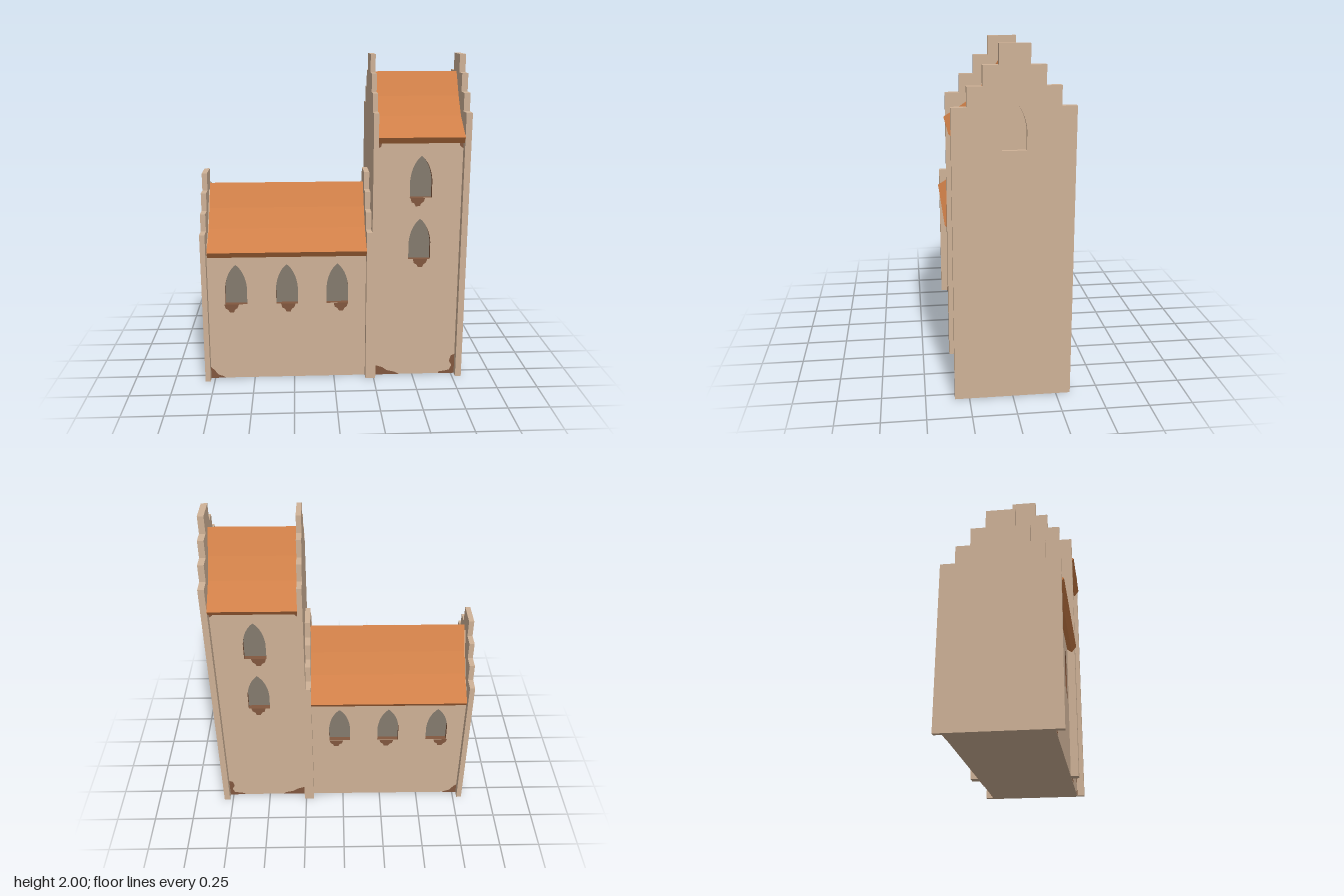
import * as THREE from 'three';

const mat = (name, color, side = THREE.FrontSide) => {
  const m = new THREE.MeshStandardMaterial({ color, side });
  m.name = name;
  return m;
};

export function createModel() {
  const plaster = mat('plaster', 0xcfb297);
  const tile = mat('roofTile', 0xcf7f48);
  const glass = mat('windowGlass', 0x857b6e, THREE.DoubleSide);
  const brick = mat('exposedBrick', 0x82583f, THREE.DoubleSide);
  const model = new THREE.Group();
  model.name = 'church';

  const add = (parent, name, geometry, material) => {
    const mesh = new THREE.Mesh(geometry, material);
    mesh.name = name;
    parent.add(mesh);
    return mesh;
  };
  const polygon = pts => new THREE.Shape(pts.map(p => new THREE.Vector2(...p)));
  // closes a half outline (listed from the outside to the centre) by mirroring it
  const mirrored = half => [
    ...half,
    ...half.filter(p => p[0] > 0).reverse().map(([a, b]) => [-a, b]),
  ];
  // extrudes a (z, y) outline along x from x0 to x1
  const alongX = (shape, x0, x1) =>
    new THREE.ExtrudeGeometry(shape, { depth: x1 - x0, bevelEnabled: false, curveSegments: 8 })
      .rotateY(Math.PI / 2).translate(x0, 0, 0);

  // pointed arch outline standing on a sill
  const W = 0.067;
  const arch = (x, y, Type = THREE.Shape) => {
    const s = new Type();
    s.moveTo(x - W, y);
    s.lineTo(x + W, y);
    s.lineTo(x + W, y + 0.11);
    s.quadraticCurveTo(x + W * 0.85, y + 0.21, x, y + 0.257);
    s.quadraticCurveTo(x - W * 0.85, y + 0.21, x - W, y + 0.11);
    s.lineTo(x - W, y);
    return s;
  };

  // stepped gable outline, four steps up to the top
  const steppedGable = top => {
    const half = [[0.333, 0]];
    [0.333, 0.25, 0.167, 0.083].forEach((w, i) => {
      const y = top - 0.108 * (3 - i);
      if (i > 0) half.push([w, y - 0.108]);
      half.push([w, y]);
    });
    return polygon(mirrored(half));
  };

  // concave roof, listed as distance from the ridge and rise above the eave
  const slope = [[0.344, 0], [0.27, 0.046], [0.18, 0.107], [0.09, 0.217], [0, 0.358]];
  const roofShape = eave => {
    const top = mirrored(slope.map(([z, y]) => [z, y + eave]));
    const under = mirrored(slope.map(([z, y]) => [z * 0.915, y + eave - 0.038])).reverse();
    return polygon([...top, ...under]);
  };

  // stain outlines
  const drip = [[-0.045, 0], [0.045, 0], [0.036, -0.024], [0.02, -0.035], [0.014, -0.052],
    [-0.012, -0.052], [-0.022, -0.034], [-0.038, -0.026]];

  const wing = ({ name, x0, x1, roof, eave, windows, stains }) => {
    const g = new THREE.Group();
    g.name = name;
    model.add(g);

    // solid core and base
    const core = polygon(mirrored([[0.25, 0.01], [0.25, eave + 0.02], [0.165, eave + 0.075],
      [0.08, eave + 0.185], [0, eave + 0.315]]));
    add(g, name + 'Core', alongX(core, x0, x1), plaster);
    add(g, name + 'Base',
      new THREE.BoxGeometry(x1 - x0, 0.01, 0.57).translate((x0 + x1) / 2, 0.005, 0), plaster);

    // long walls with pierced windows, brick reveals, glass and stains
    for (const side of [1, -1]) {
      const label = side > 0 ? 'Front' : 'Back';
      const wall = polygon([[x0, 0.01], [x1, 0.01], [x1, eave - 0.015], [x0, eave - 0.015]]);
      wall.holes = windows.map(([x, y]) => arch(x, y, THREE.Path));
      const geo = new THREE.ExtrudeGeometry(wall, { depth: 0.035, bevelEnabled: false, curveSegments: 8 });
      geo.translate(0, 0, side > 0 ? 0.25 : -0.285);
      add(g, name + label + 'Wall', geo, [plaster, brick]);
      for (const [x, y, dx] of windows) {
        add(g, 'windowGlass', new THREE.ShapeGeometry(arch(x, y), 8), glass).position.z = side * 0.254;
        const d = polygon(drip.map(([a, b]) => [x + dx + a, y + b]));
        add(g, 'sillStain', new THREE.ShapeGeometry(d), brick).position.z = side * 0.287;
      }
      for (const s of stains) {
        add(g, 'cornerStain', new THREE.ShapeGeometry(polygon(s)), brick).position.z = side * 0.287;
      }
    }

    // roof
    add(g, name + 'Roof', alongX(roofShape(eave), ...roof), tile);
    return g;
  };

  const nave = wing({
    name: 'nave', x0: -0.776, x1: 0.2, roof: [-0.768, 0.199], eave: 0.845,
    windows: [[-0.603, 0.494, -0.03], [-0.29, 0.494, 0.008], [0.022, 0.494, 0.022]],
    stains: [[[-0.776, 0], [-0.68, 0], [-0.7, 0.012], [-0.73, 0.022], [-0.755, 0.055], [-0.776, 0.075]]],
  });
  const tower = wing({
    name: 'tower', x0: 0.26, x1: 0.772, roof: [0.261, 0.771], eave: 1.535,
    windows: [[0.525, 0.772, 0.007], [0.525, 1.16, -0.018]],
    stains: [
      [[0.26, 0], [0.415, 0], [0.39, 0.016], [0.34, 0.028], [0.31, 0.05], [0.26, 0.066]],
      [[0.772, 0], [0.772, 0.132], [0.748, 0.122], [0.738, 0.085], [0.754, 0.055],
        [0.74, 0.024], [0.7, 0.016], [0.672, 0.012], [0.672, 0]],
      [[0.26, 1.515], [0.26, 1.46], [0.28, 1.475], [0.29, 1.515]],
      [[0.772, 1.515], [0.772, 1.46], [0.752, 1.475], [0.742, 1.515]],
    ],
  });

  // stepped gables at the ends of each wing
  add(nave, 'naveLeftGable', alongX(steppedGable(1.28), -0.808, -0.776), plaster);
  add(nave, 'naveRightGable', alongX(steppedGable(1.28), 0.198, 0.231), plaster);
  add(tower, 'towerInnerGable', alongX(steppedGable(2), 0.231, 0.261), plaster);
  add(tower, 'towerOuterGable', alongX(steppedGable(2), 0.771, 0.784), plaster);

  // outer face of the tower gable with a shallow pointed niche
  const face = steppedGable(2);
  face.holes = [arch(0, 1.443, THREE.Path)];
  add(tower, 'towerNicheFace', alongX(face, 0.784, 0.808), plaster);

  return model;
}
